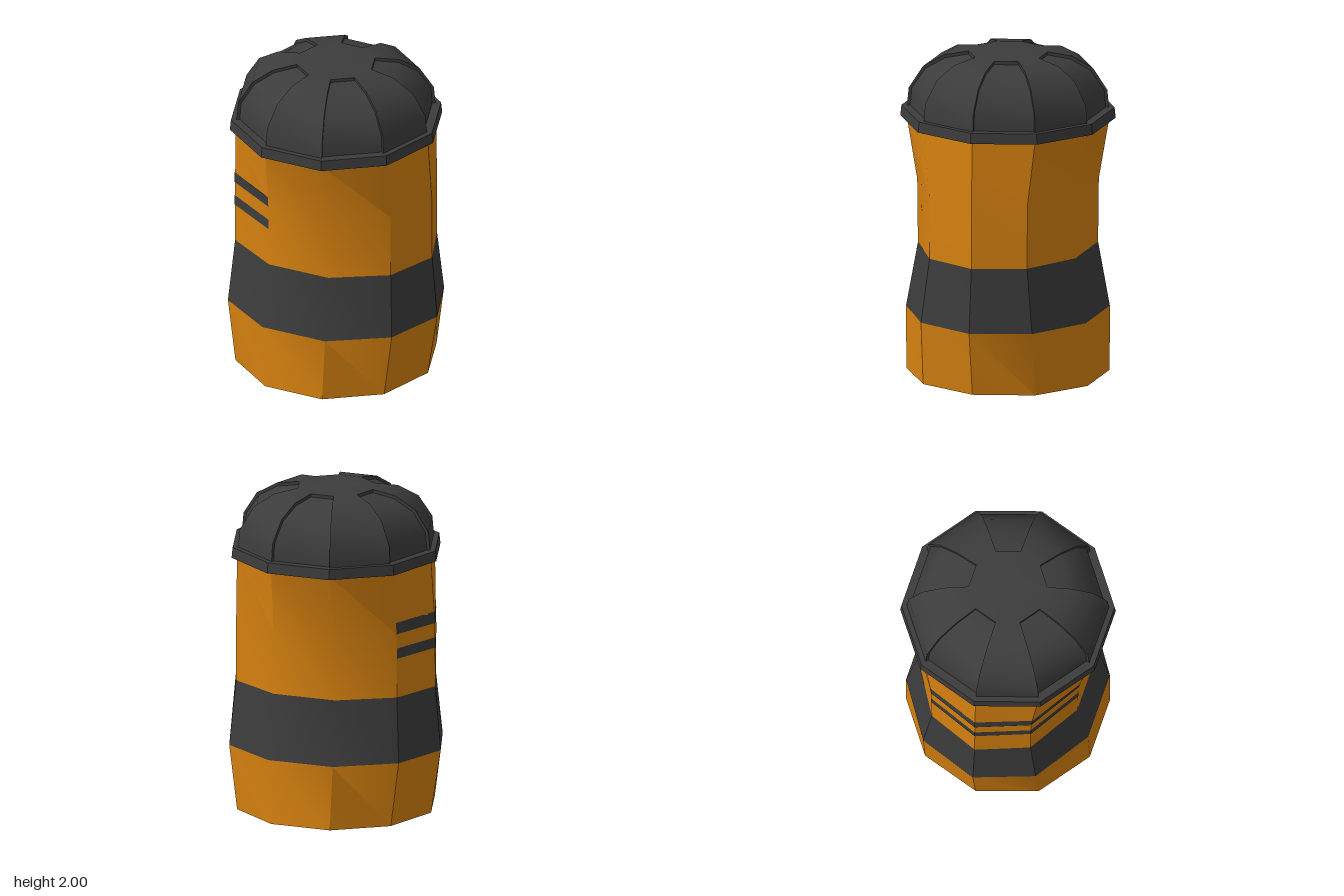
import * as THREE from 'three';
import { toCreasedNormals } from 'three/addons/utils/BufferGeometryUtils.js';

const SIDES = 10;
const angle = (k) => THREE.MathUtils.degToRad(1.8 + 36 * k);
const point = (k, y, rx, rz = rx) =>
  new THREE.Vector3(rx * Math.cos(angle(k)), y, rz * Math.sin(angle(k)));

// Triangles of a grid of points; rows run upwards, columns around the axis
function grid(rows) {
  const out = [];
  const add = (a, b, c) => {
    if (new THREE.Triangle(a, b, c).getArea() > 1e-8) out.push(a, b, c);
  };
  for (let i = 0; i < rows.length - 1; i++) {
    for (let j = 0; j < rows[i].length - 1; j++) {
      const a = rows[i][j], b = rows[i][j + 1], c = rows[i + 1][j + 1], d = rows[i + 1][j];
      add(a, d, c);
      add(a, c, b);
    }
  }
  return out;
}

// Ten-sided surface through [y, rx, rz] levels, from side k0 to side k1
function loft(levels, k0 = 0, k1 = SIDES) {
  return grid(levels.map(([y, rx, rz]) => {
    const row = [];
    for (let k = k0; k <= k1; k++) row.push(point(k, y, rx, rz));
    return row;
  }));
}

function part(name, points, material) {
  const geometry = new THREE.BufferGeometry().setFromPoints(points);
  const mesh = new THREE.Mesh(toCreasedNormals(geometry, 0.6), material);
  mesh.name = name;
  return mesh;
}

// Body levels: height, half width, half depth
const BODY = [
  [0, 0.62, 0.617],
  [0.4, 0.682, 0.612],
  [0.8, 0.647, 0.537],
  [1.2, 0.645, 0.542],
  [1.6, 0.62, 0.617],
];

// Body level at any height, pushed out a little
function bodyAt(y, offset = 0) {
  const i = Math.max(0, BODY.findIndex((l) => l[0] >= y) - 1);
  const t = (y - BODY[i][0]) / (BODY[i + 1][0] - BODY[i][0]);
  const mix = (n) => THREE.MathUtils.lerp(BODY[i][n], BODY[i + 1][n], t) + offset;
  return [y, mix(1), mix(2)];
}

// Dome profile and its sunken panel profile: height, radius
const DOME = [[1.655, 0.613], [1.765, 0.603], [1.9, 0.517], [1.974, 0.39], [2, 0.24]];
const PANEL = [[1.655, 0.593], [1.765, 0.584], [1.886, 0.502], [1.955, 0.382], [1.98, 0.24]];

export function createModel() {
  const orange = new THREE.MeshStandardMaterial({ color: 0xd98310 });
  const dark = new THREE.MeshStandardMaterial({ color: 0x3c3c3c });
  const model = new THREE.Group();
  model.name = 'canister';

  // Body in three sections
  model.add(part('lowerBody', loft([[0, 0, 0], BODY[0], BODY[1]]), orange));
  model.add(part('wideBand', loft([BODY[1], BODY[2]]), dark));
  model.add(part('upperBody', loft(BODY.slice(2)), orange));

  // Two thin stripes across three sides
  for (const [y0, y1] of [[1.045, 1.11], [1.2, 1.273]]) {
    model.add(part('sideStripe', loft([bodyAt(y0, 0.003), bodyAt(y1, 0.003)], 3.5 - 0.5 + 0.5 | 0, 6)
      , dark));
  }

  // Rim under the dome
  model.add(part('lidRim', loft([
    [1.59, 0.6], [1.59, 0.654], [1.655, 0.647], [1.655, 0.58],
  ]), dark));

  // Dome: flush and sunken sides alternate around a flat cap
  const dome = loft([[2, 0.24], [2, 0]]);
  const sunken = [...PANEL, [2, 0.24]];
  const flush = [...DOME, [2, 0.24]];
  for (let k = 0; k < SIDES; k++) {
    // Sunken sides start at 19.8, 91.8, 163.8 ... degrees
    if (k % 2 === 0) {
      dome.push(...loft(DOME, k, k + 1));
      continue;
    }
    dome.push(...loft(sunken, k, k + 1));
    const edge = (profile, at) => profile.map(([y, r]) => point(at, y, r));
    dome.push(...grid([edge(sunken, k), edge(flush, k)]));
    dome.push(...grid([edge(flush, k + 1), edge(sunken, k + 1)]));
  }
  model.add(part('lidDome', dome, dark));

  return model;
}
